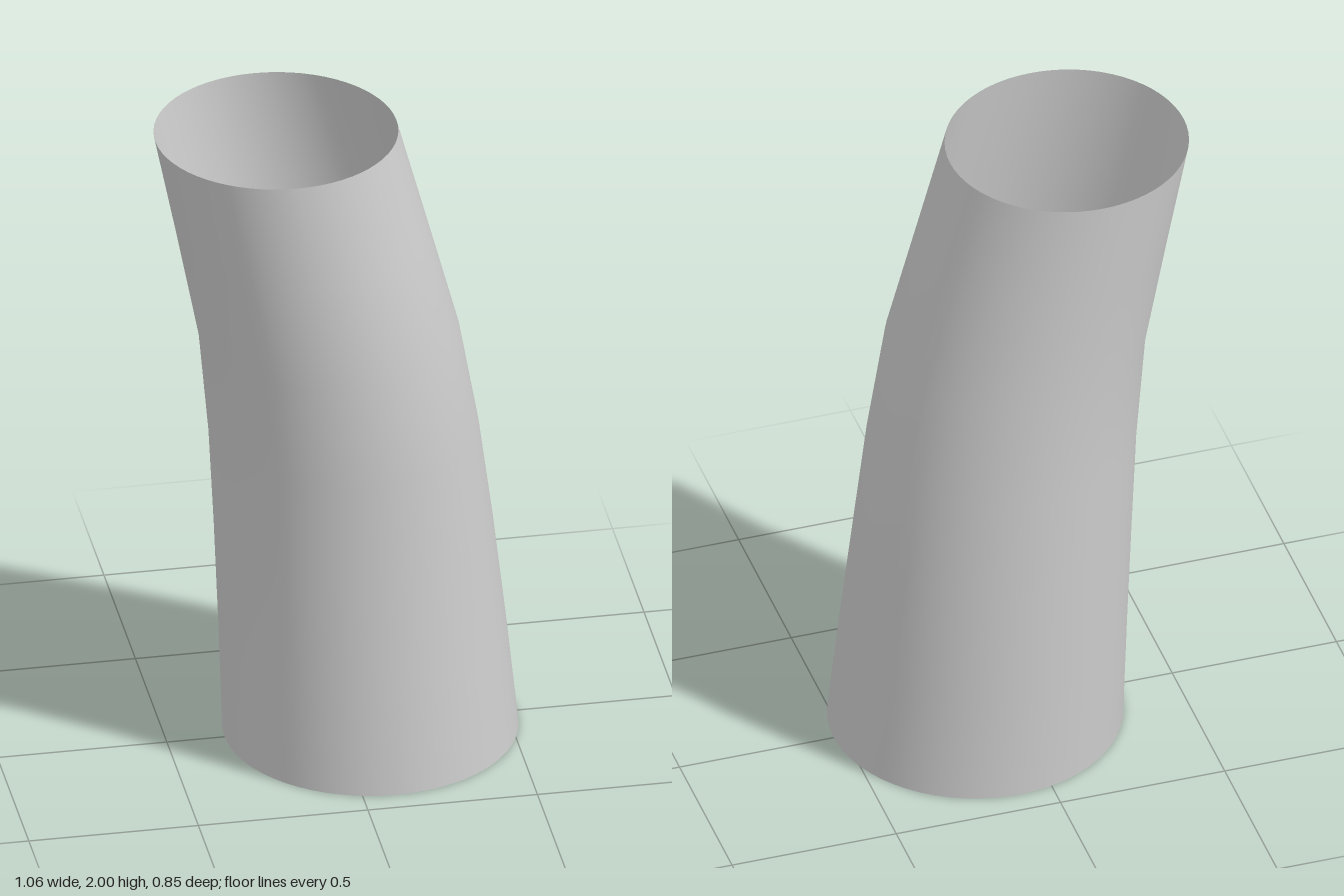
import * as THREE from 'three';

// Cross-sections: height, min x, max x, min z, max z
const RINGS = [
  [0.00, -0.33, 0.53, -0.427, 0.427],
  [0.33, -0.34, 0.497, -0.418, 0.402],
  [0.67, -0.353, 0.459, -0.407, 0.379],
  [1.00, -0.371, 0.415, -0.389, 0.376],
  [1.33, -0.402, 0.356, -0.37, 0.379],
  [1.67, -0.467, 0.266, -0.36, 0.358],
  [2.00, -0.533, 0.178, -0.351, 0.341],
];
const SIDES = 64;

export function createModel() {
  const group = new THREE.Group();
  group.name = 'bentTube';

  // Open cylinder whose rings are moved onto the cross-sections
  const geometry = new THREE.CylinderGeometry(1, 1, 1, SIDES, RINGS.length - 1, true);
  const pos = geometry.attributes.position;
  const normal = geometry.attributes.normal;
  for (let i = 0; i < pos.count; i++) {
    const row = RINGS.length - 1 - Math.floor(i / (SIDES + 1));
    const [y, x0, x1, z0, z1] = RINGS[row];
    pos.setXYZ(i,
      (x0 + x1) / 2 + pos.getX(i) * (x1 - x0) / 2,
      y,
      (z0 + z1) / 2 + pos.getZ(i) * (z1 - z0) / 2);
  }
  geometry.computeVertexNormals();

  // Keep the shading smooth across the seam
  const a = new THREE.Vector3(), b = new THREE.Vector3();
  for (let r = 0; r < RINGS.length; r++) {
    const first = r * (SIDES + 1), last = first + SIDES;
    a.fromBufferAttribute(normal, first).add(b.fromBufferAttribute(normal, last)).normalize();
    normal.setXYZ(first, a.x, a.y, a.z);
    normal.setXYZ(last, a.x, a.y, a.z);
  }

  const wall = new THREE.Mesh(geometry, new THREE.MeshStandardMaterial({
    color: 0xcccccc, side: THREE.DoubleSide,
  }));
  wall.name = 'tubeWall';
  group.add(wall);
  return group;
}
